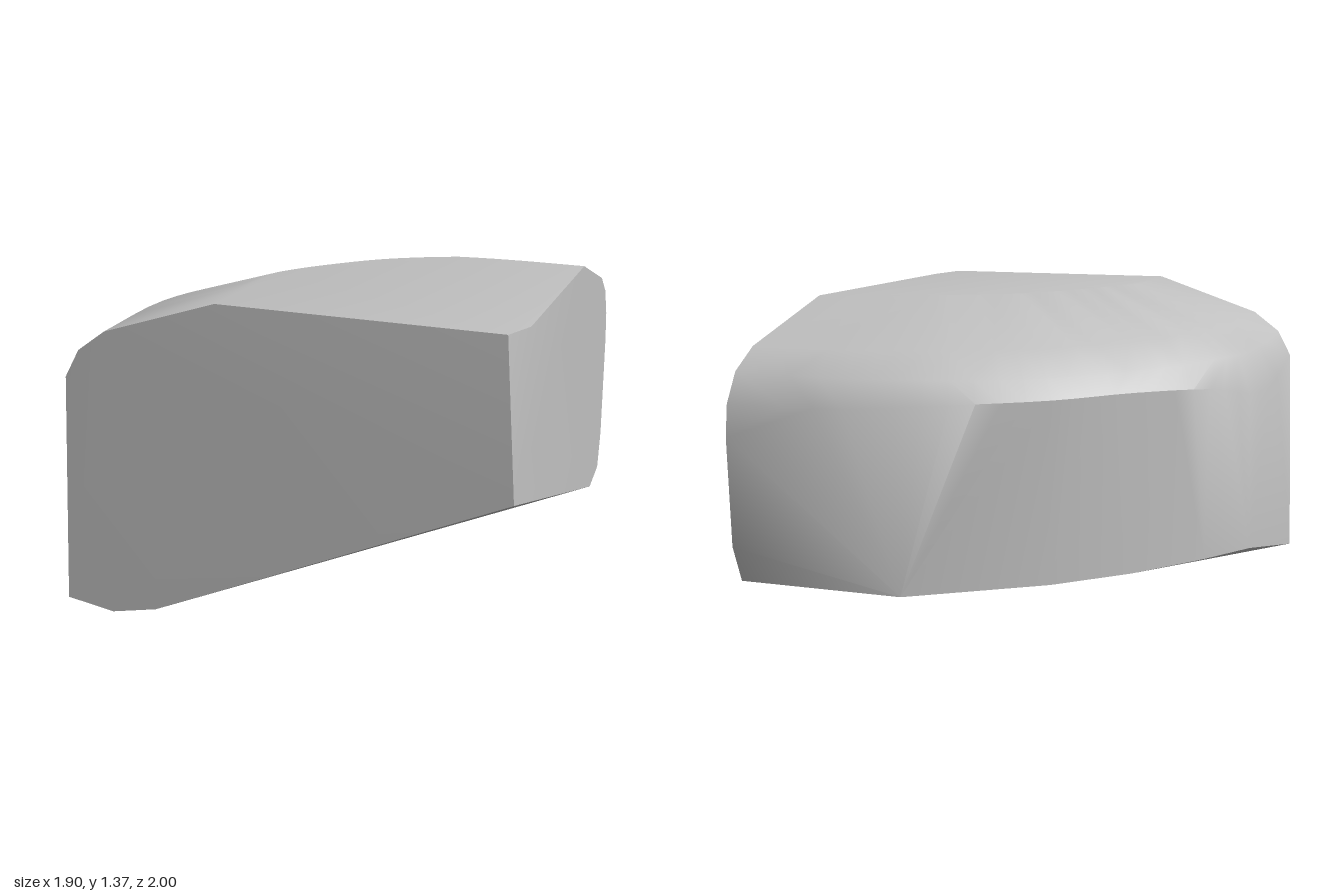
import * as THREE from 'three';
import { ConvexGeometry } from 'three/addons/geometries/ConvexGeometry.js';
import { toCreasedNormals } from 'three/addons/utils/BufferGeometryUtils.js';

const vec = (p) => new THREE.Vector3(...p);

export function createModel() {
  const group = new THREE.Group();
  group.name = 'rockChunk';
  const stone = new THREE.MeshStandardMaterial({ color: 0xc0c0c0 });
  stone.name = 'grey stone';
  const points = [];
  const add = (list) => list.forEach((p) => points.push(vec(p)));

  // Slanted underside and the two flat cut faces
  add([
    [0.95, 0.68, 1], [0.9, 1.31, 0.965], [0.95, 1.31, 0.81],
    [-0.95, 0.035, 1], [-0.74, 0, 1], [-0.54, 0.04, 1],
    [0.95, 0.165, -0.74], [0.95, 0.2, -0.95], [0.95, 0.37, -1], [0.95, 0.85, -1],
  ]);

  // Lower rim of the rounded wall
  add([
    [-0.95, 0.25, 0.25], [-0.82, 0.26, 0], [-0.6, 0.265, -0.32],
    [-0.35, 0.27, -0.6], [0.14, 0.27, -0.98],
  ]);

  // Upper rim of the wall, running from the front cut to the side cut
  const rim = new THREE.CatmullRomCurve3([
    [-0.91, 1.0, 0.98], [-0.94, 0.95, 0.35], [-0.82, 1.02, 0.01],
    [-0.6, 1.05, -0.32], [-0.35, 1.05, -0.59], [0, 1.04, -0.8],
    [0.42, 1.01, -0.93], [0.95, 0.99, -0.98],
  ].map(vec), false, 'centripetal');
  const rimPoints = rim.getPoints(28);
  points.push(...rimPoints);

  // Shoulder and crown: the rim shrunk toward the inner corner, step by step
  const rings = [[0.965, 1.115, 0.01], [0.9, 1.2, 0.02], [0.64, 1.345, 0.025]];
  for (const [scale, y, bulge] of rings) {
    rimPoints.forEach((p, i) => {
      const t = i / (rimPoints.length - 1);
      const lift = bulge * Math.min(1, 4 * t, 4 * (1 - t));
      points.push(new THREE.Vector3(
        0.95 + (p.x - 0.95) * scale,
        y + lift,
        0.98 + (p.z - 0.98) * scale,
      ));
    });
  }

  const geometry = toCreasedNormals(new ConvexGeometry(points), 0.6);
  const rock = new THREE.Mesh(geometry, stone);
  rock.name = 'rock';
  group.add(rock);
  return group;
}
